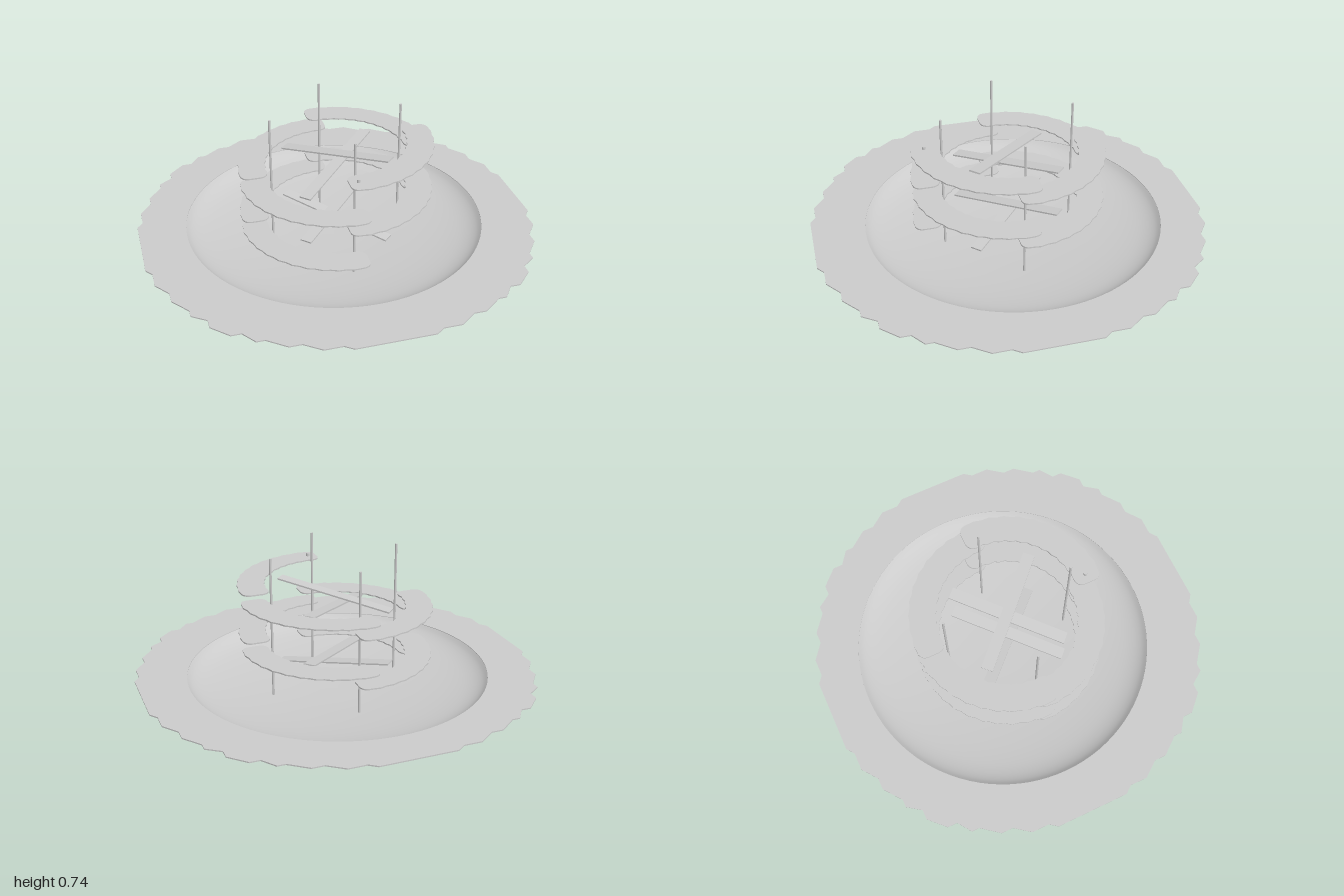
import * as THREE from 'three';

export function createModel() {
  const model = new THREE.Group();
  const mat = new THREE.MeshStandardMaterial({ color: 0xcccccc, side: THREE.DoubleSide });

  function add(name, geometry, x = 0, y = 0, z = 0) {
    const mesh = new THREE.Mesh(geometry, mat);
    mesh.name = name;
    mesh.position.set(x, y, z);
    model.add(mesh);
    return mesh;
  }

  // Lays a flat outline (drawn in x, z) on y = 0 with the given thickness.
  function slab(shape, thickness) {
    const g = new THREE.ExtrudeGeometry(shape, { depth: thickness, bevelEnabled: false, curveSegments: 48 });
    return g.rotateX(Math.PI / 2).translate(0, thickness / 2, 0);
  }

  const bowlZ = -0.03;
  const bowlR = 0.765;

  // Brim: stepped outline, one octant mirrored into a quarter and turned four times
  const octant = [[0.19, 1], [0.23, 0.97], [0.32, 0.97], [0.4, 0.91], [0.46, 0.91],
    [0.55, 0.84], [0.59, 0.84], [0.64, 0.77], [0.69, 0.77]];
  const quarter = [...octant, ...octant.map(([a, b]) => [b, a]).reverse()];
  const outline = [];
  for (let k = 0; k < 4; k++) {
    for (const [a, b] of quarter) {
      outline.push(new THREE.Vector2(a, b).rotateAround(new THREE.Vector2(), -k * Math.PI / 2));
    }
  }
  const brimShape = new THREE.Shape(outline);
  brimShape.holes.push(new THREE.Path().absarc(0, bowlZ, bowlR, 0, Math.PI * 2, true));
  add('brim', slab(brimShape, 0.006), 0, 0.115, 0);

  // Shallow bowl hanging from the brim
  const profile = [[0, 0.002], [0.2, 0.005], [0.4, 0.019], [0.54, 0.035], [0.64, 0.053],
    [0.7, 0.071], [0.74, 0.092], [bowlR, 0.115]].map(([r, y]) => new THREE.Vector2(r, y));
  const bowlCurve = new THREE.SplineCurve(profile).getPoints(28);
  bowlCurve[0].x = 0;
  add('bowl', new THREE.LatheGeometry(bowlCurve, 96), 0, 0, bowlZ);

  // Four upright posts
  for (let k = 0; k < 4; k++) {
    const a = k * Math.PI / 2;
    add('post', new THREE.CylinderGeometry(0.006, 0.006, 0.74, 10),
      0.003 + 0.333 * Math.cos(a), 0.37, 0.333 * Math.sin(a));
  }

  // Quarter-ring step with slightly scalloped edges and rounded, overlapping ends
  const inner = 0.354, outer = 0.488, overlap = 0.05, n = 20;
  const step = new THREE.Shape();
  const ripple = (i) => (i % 2 ? 0.003 : -0.003);
  step.moveTo(outer, 0);
  for (let i = 1; i <= n; i++) {
    const a = (i / n) * Math.PI / 2;
    const r = outer + ripple(i);
    step.lineTo(r * Math.cos(a), r * Math.sin(a));
  }
  step.quadraticCurveTo(-overlap, outer, -overlap, outer - 0.045);
  step.lineTo(-overlap, inner + 0.045);
  step.quadraticCurveTo(-overlap, inner, 0, inner);
  for (let i = n - 1; i >= 0; i--) {
    const a = (i / n) * Math.PI / 2;
    const r = inner + ripple(i);
    step.lineTo(r * Math.cos(a), r * Math.sin(a));
  }
  step.quadraticCurveTo(inner, -overlap, inner + 0.045, -overlap);
  step.lineTo(outer - 0.045, -overlap);
  step.quadraticCurveTo(outer, -overlap, outer, 0);
  const stepGeometry = slab(step, 0.007);

  // Eight steps spiral down from the top, a quarter turn each
  for (let i = 0; i < 8; i++) {
    add('spiralStep', stepGeometry, 0, 0.582 - 0.0625 * i, 0).rotation.y = i * Math.PI / 2;
  }

  // Peg on the end of the top step
  add('peg', new THREE.CylinderGeometry(0.009, 0.009, 0.02, 12), -0.005, 0.591, 0.418);

  // Tilted planks crossing the middle: [height, turn, tilt]
  const planks = [[0.515, -1, 1], [0.455, 1, 1], [0.205, 1, 1], [0.147, -1, -1]];
  for (const [y, turn, tilt] of planks) {
    const plank = add('plank', new THREE.BoxGeometry(0.615, 0.008, 0.06), 0.003, y, 0.003);
    plank.rotation.set(0, turn * Math.PI / 4, tilt * 0.147, 'YZX');
  }

  return model;
}
